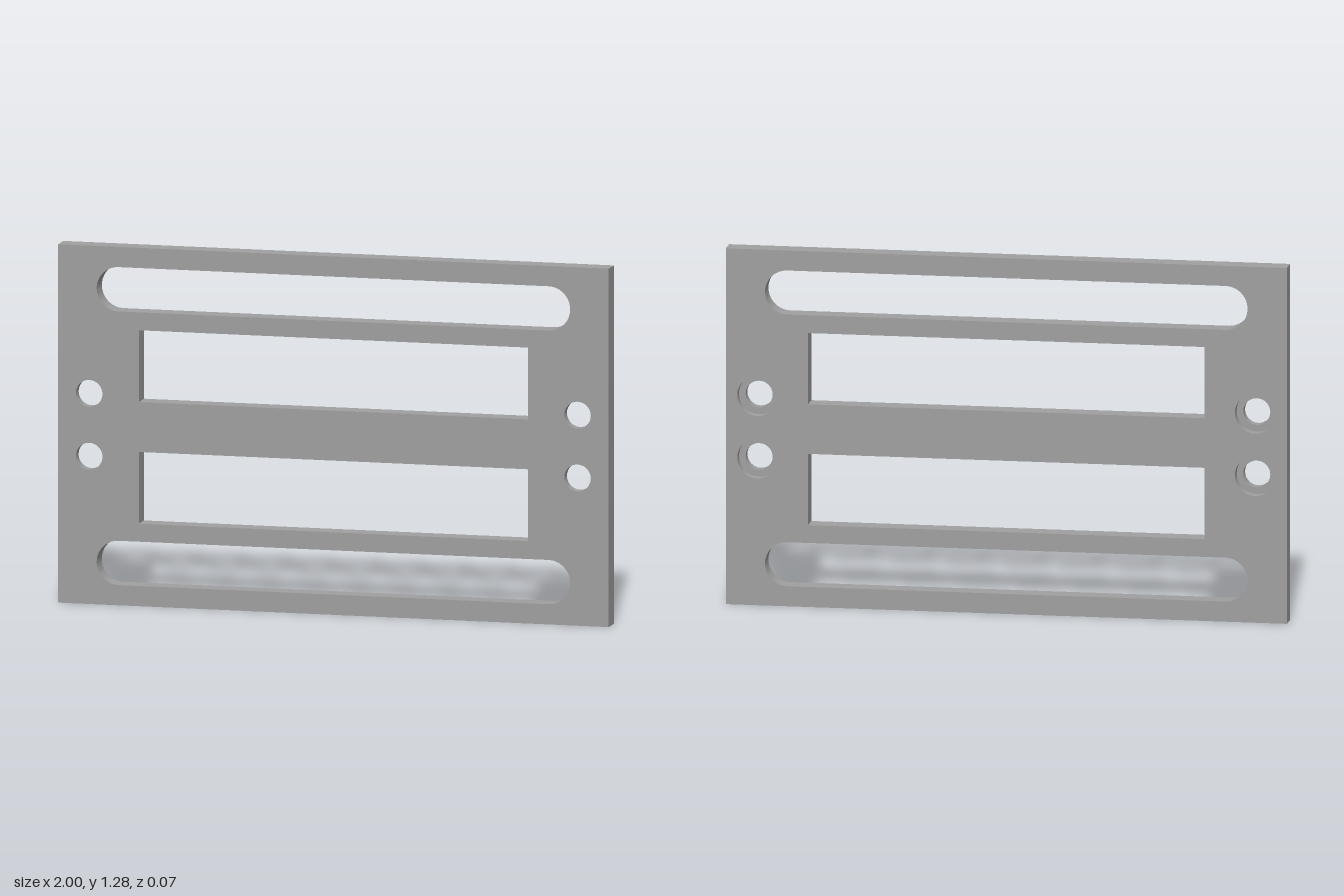
import * as THREE from 'three';
import { mergeGeometries, toCreasedNormals } from 'three/addons/utils/BufferGeometryUtils.js';

const HEIGHT = 1.278, HALF = 0.036, STEP_Z = 0; // plate height, half thickness, counterbore floor
const SEGMENTS = 16;

// Closed rectangle outline
function rect(path, x0, y0, x1, y1) {
  path.moveTo(x0, y0).lineTo(x1, y0).lineTo(x1, y1).lineTo(x0, y1);
  path.closePath();
  return path;
}

// Round-ended slot, long in x
function slot(y, halfLength, r) {
  const path = new THREE.Path();
  path.absarc(halfLength - r, y, r, -Math.PI / 2, Math.PI / 2);
  path.absarc(-halfLength + r, y, r, Math.PI / 2, Math.PI * 1.5);
  path.closePath();
  return path;
}

function circle(x, y, r) {
  return new THREE.Path().absarc(x, y, r, 0, Math.PI * 2);
}

// Wall along a closed outline; solid lies inside the outline, or outside it for a hole
function wall(path, z0, z1, isHole) {
  const pts = path.getPoints(SEGMENTS);
  if (THREE.ShapeUtils.isClockWise(pts) !== isHole) pts.reverse();
  const pos = [];
  pts.forEach((a, i) => {
    const b = pts[(i + 1) % pts.length];
    if (a.distanceTo(b) < 1e-6) return;
    pos.push(a.x, a.y, z0, b.x, b.y, z0, b.x, b.y, z1);
    pos.push(a.x, a.y, z0, b.x, b.y, z1, a.x, a.y, z1);
  });
  const g = new THREE.BufferGeometry();
  g.setAttribute('position', new THREE.Float32BufferAttribute(pos, 3));
  return toCreasedNormals(g, Math.PI / 5);
}

// Flat face at depth z, looking to the front or the back
function face(outline, holes, z, toBack) {
  const shape = new THREE.Shape(outline.getPoints(SEGMENTS));
  shape.holes = holes;
  let g = new THREE.ShapeGeometry(shape, SEGMENTS).toNonIndexed();
  if (toBack) {
    const p = g.attributes.position;
    for (let i = 0; i < p.count; i += 3) {
      const x = p.getX(i), y = p.getY(i);
      p.setXY(i, p.getX(i + 1), p.getY(i + 1));
      p.setXY(i + 1, x, y);
    }
  }
  g.translate(0, 0, z);
  g.deleteAttribute('uv');
  g.computeVertexNormals();
  return g;
}

export function createModel() {
  const group = new THREE.Group();
  group.name = 'mountingPlate';
  const grey = new THREE.MeshStandardMaterial({ color: 0xa0a0a0 });
  grey.name = 'plate grey';
  const add = (name, parts) => {
    const mesh = new THREE.Mesh(mergeGeometries(parts), grey);
    mesh.name = name;
    group.add(mesh);
  };

  const outline = rect(new THREE.Shape(), -1, 0, 1, HEIGHT);
  const mid = HEIGHT / 2;

  // Slots and windows mirrored about the middle height
  const openings = [];
  for (const s of [-1, 1]) {
    openings.push(slot(mid + s * 0.488, 0.86, 0.079));
    openings.push(rect(new THREE.Path(), -0.707, mid + s * 0.217 - 0.128, 0.707, mid + s * 0.217 + 0.128));
  }

  // Screw holes, counterbored from the back
  const bores = [], counterbores = [];
  for (const x of [-0.887, 0.887]) {
    for (const y of [mid - 0.112, mid + 0.112]) {
      bores.push(circle(x, y, 0.048));
      counterbores.push(circle(x, y, 0.072));
    }
  }

  add('plate', [
    face(outline, [...openings, ...bores], HALF, false),
    face(outline, [...openings, ...counterbores], -HALF, true),
    wall(outline, -HALF, HALF, false),
    ...openings.map((o) => wall(o, -HALF, HALF, true)),
  ]);

  bores.forEach((bore, i) => add('screwHole' + (i + 1), [
    wall(bore, STEP_Z, HALF, true),
    wall(counterbores[i], -HALF, STEP_Z, true),
    face(counterbores[i], [bore], STEP_Z, true),
  ]));

  return group;
}
